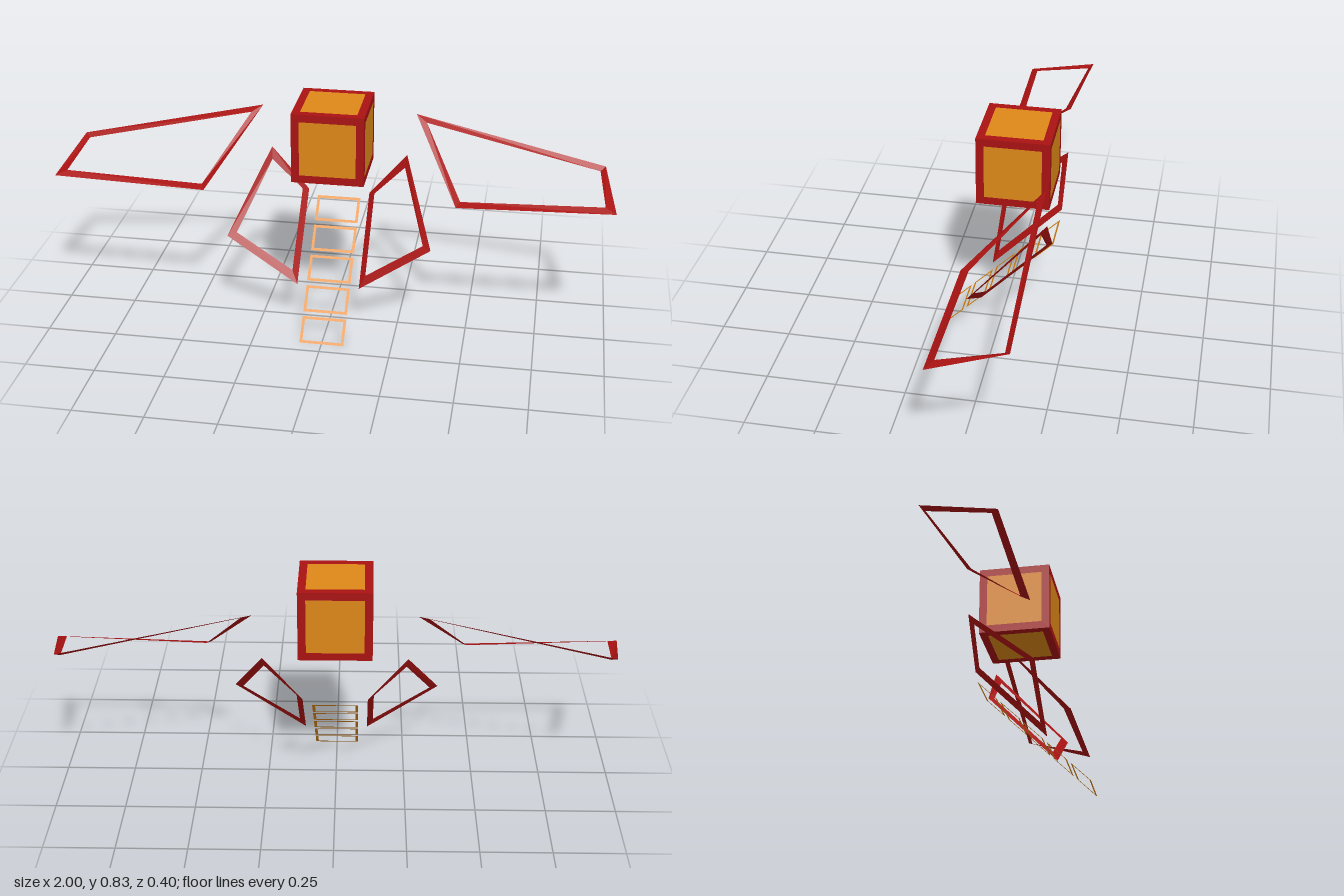
import * as THREE from 'three';

const red = new THREE.MeshStandardMaterial({ color: 0xaa1212, side: THREE.DoubleSide, flatShading: true });
const orange = new THREE.MeshStandardMaterial({ color: 0xdd8818, side: THREE.DoubleSide, flatShading: true });

// Thin four-sided frame: a ring of quads between outer and inner corners
function frame(name, outer, inner, material) {
  const pos = [];
  for (let i = 0; i < 4; i++) {
    const j = (i + 1) % 4;
    pos.push(...outer[i], ...outer[j], ...inner[j], ...outer[i], ...inner[j], ...inner[i]);
  }
  const geo = new THREE.BufferGeometry();
  geo.setAttribute('position', new THREE.Float32BufferAttribute(pos, 3));
  geo.computeVertexNormals();
  const mesh = new THREE.Mesh(geo, material);
  mesh.name = name;
  return mesh;
}

const mirror = (pts) => pts.map(([x, y, z]) => [-x, y, z]).reverse();

// Corners of a flat rectangle of half-size w, h at depth z
const rect = (w, h, z = 0) => [[-w, -h, z], [w, -h, z], [w, h, z], [-w, h, z]];

// Cube with an orange panel and a red border on every face
function createBody() {
  const body = new THREE.Group();
  body.name = 'body';
  const half = 0.128, panel = 0.1;
  const turns = [[0, 0], [0, Math.PI / 2], [0, Math.PI], [0, -Math.PI / 2], [Math.PI / 2, 0], [-Math.PI / 2, 0]];
  for (const [rx, ry] of turns) {
    const face = new THREE.Group();
    face.name = 'bodyFace';
    const plate = new THREE.Mesh(new THREE.PlaneGeometry(panel * 2, panel * 2), orange);
    plate.name = 'bodyPanel';
    plate.position.z = half;
    face.add(frame('bodyBorder', rect(half, half, half), rect(panel, panel, half), red), plate);
    face.rotation.set(rx, ry, 0);
    body.add(face);
  }
  body.position.set(0, 0.699, -0.061);
  return body;
}

export function createModel() {
  const model = new THREE.Group();
  model.name = 'wingedCube';
  model.add(createBody());

  // Twisted upper wings and sloping lower wings, one pair each
  const wings = {
    UpperWing: {
      outer: [[0.28, 0.748, -0.201], [0.96, 0.592, -0.201], [1.0, 0.527, 0.055], [0.45, 0.51, 0.055]],
      inner: [[0.32, 0.726, -0.178], [0.942, 0.58, -0.183], [0.962, 0.539, 0.028], [0.463, 0.52, 0.025]],
    },
    LowerWing: {
      outer: [[0.25, 0.585, -0.201], [0.368, 0.334, 0.055], [0.113, 0.158, 0.055], [0.113, 0.424, -0.201]],
      inner: [[0.245, 0.544, -0.18], [0.338, 0.34, 0.033], [0.134, 0.203, 0.035], [0.134, 0.43, -0.183]],
    },
  };
  for (const [name, { outer, inner }] of Object.entries(wings)) {
    model.add(frame('left' + name, outer, inner, red));
    model.add(frame('right' + name, mirror(outer), mirror(inner), red));
  }

  // Tail: five open links stepping down a 45 degree slope
  const tail = new THREE.Group();
  tail.name = 'tail';
  const length = 0.07 * Math.SQRT2, step = 0.0825;
  for (let i = 0; i < 5; i++) {
    const link = frame('tailLink', rect(0.08, length / 2), rect(0.07, length / 2 - 0.01), orange);
    const t = 0.035 + i * step;
    link.position.set(0, 0.4 - t, -0.2 + t);
    link.rotation.x = -Math.PI / 4;
    tail.add(link);
  }
  model.add(tail);
  return model;
}
